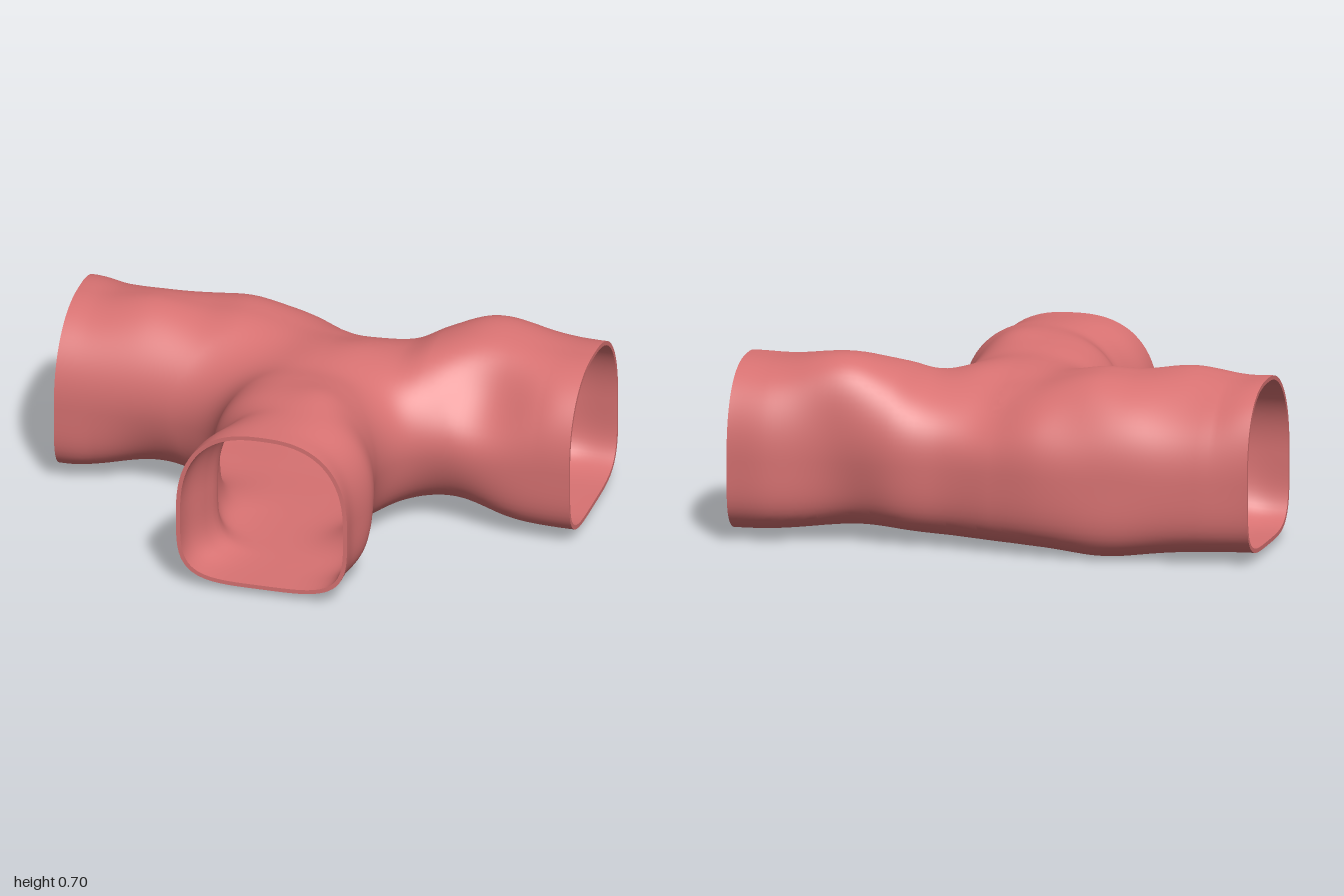
import * as THREE from 'three';

// Smooth curve through [position, value] knots
function curve(pts) {
  const slope = (i) => {
    const a = pts[Math.max(0, i - 1)], b = pts[Math.min(pts.length - 1, i + 1)];
    return i === 0 || i === pts.length - 1 ? 0 : (b[1] - a[1]) / (b[0] - a[0]);
  };
  const m = pts.map((p, i) => slope(i));
  return (x) => {
    if (x <= pts[0][0]) return pts[0][1];
    if (x >= pts[pts.length - 1][0]) return pts[pts.length - 1][1];
    let i = 0;
    while (x > pts[i + 1][0]) i++;
    const d = pts[i + 1][0] - pts[i][0], t = (x - pts[i][0]) / d, s = 1 - t;
    return pts[i][1] * (1 + 2 * t) * s * s + m[i] * d * t * s * s
      + pts[i + 1][1] * t * t * (3 - 2 * t) - m[i + 1] * d * t * t * s;
  };
}

// Outlines of the main passage (along x) and the side passage (along z)
const mainRoof = curve([[-1, .66], [-.9, .66], [-.7, .692], [-.5, .664], [-.35, .665], [-.15, .635], [0, .645], [.12, .65], [.28, .617], [.4, .65], [.55, .675], [.7, .675], [.87, .66], [1, .66]]);
const mainFloor = curve([[-1, .025], [-.8, .022], [-.4, .006], [-.2, .013], [.2, .025], [.5, .035], [.75, .03], [1, .025]]);
const mainBack = curve([[-1, -.65], [-.8, -.665], [-.4, -.682], [-.2, -.677], [0, -.64], [.2, -.6], [.4, -.61], [.62, -.602], [.85, -.65], [1, -.65]]);
const sideRoof = curve([[-.1, .635], [.03, .635], [.15, .648], [.3, .658], [.48, .66], [.68, .66]]);
const sideRight = curve([[-.3, -.32], [.2, -.32], [.3, -.31], [.42, -.265], [.5, -.285], [.6, -.325], [.68, -.335]]);
const sideLeft = curve([[-.3, .32], [.2, .318], [.3, .328], [.45, .362], [.6, .33], [.68, .33]]);

// Hollows (positive depth) and bulges (negative) in the rock: x, y, z, radius, depth
const dents = [
  [.64, .56, -.06, .2, .085], [.5, .06, -.04, .23, .075], [-.62, .06, -.04, .23, .075],
  [.07, .63, -.45, .25, .075], [.03, .55, -.58, .16, .03], [-.7, .62, -.54, .24, .05],
  [-.3, .57, -.62, .2, .03], [.6, .64, -.5, .2, -.05], [.53, .12, -.58, .22, .035],
  [-.45, .04, -.6, .2, -.018], [.3, .06, .28, .2, .07], [.13, .68, .28, .15, -.018],
];

const N = 80, H = 2 / N, FRONT = .685, WALL = .016;
const clamp = THREE.MathUtils.clamp;

// Negative inside the tunnel, zero on its outer skin
function field(px, y, pz) {
  const x = clamp(px, -1 + H / 2, 1 - H / 2), z = Math.min(pz, FRONT - H / 2);
  const back = mainBack(x), mid = (back + .019) / 2;
  const a = Math.abs(z - mid) - (.019 - back) / 2;
  const l = sideRight(z), r = sideLeft(z);
  const b = Math.abs(x - (l + r) / 2) - (r - l) / 2 + 2 * Math.max(0, mid - z);
  const k = .23, h = Math.max(k - Math.abs(a - b), 0);
  const plan = Math.min(a, b) - h * h / (4 * k);
  const u = Math.max(0, 1 + plan / .33);
  const w = THREE.MathUtils.smoothstep(z, -.3, .1);
  const roof = mainRoof(x) * (1 - w) + sideRoof(z) * w;
  const floor = mainFloor(x) * (1 - w) + .025 * w;
  const up = y > .3;
  const v = up ? (y - .3) / (roof - .3) : (.3 - y) / (.3 - floor);
  const p = up ? 2.5 : 4;
  let f = (Math.pow(Math.pow(u, p) + Math.pow(v, p), 1 / p) - 1) * .33;
  const fade = THREE.MathUtils.smoothstep(1 - Math.abs(x), 0, .15);
  for (const [dx, dy, dz, rad, depth] of dents) {
    f += fade * depth * Math.exp(-((x - dx) ** 2 + (y - dy) ** 2 + (z - dz) ** 2) / (rad * rad) * 1.5);
  }
  return f;
}

function gradient(p) {
  const e = .002;
  return new THREE.Vector3(
    field(p.x + e, p.y, p.z) - field(p.x - e, p.y, p.z),
    field(p.x, p.y + e, p.z) - field(p.x, p.y - e, p.z),
    field(p.x, p.y, p.z + e) - field(p.x, p.y, p.z - e)).divideScalar(2 * e);
}

// Wraps a quad mesh around the field, with the three mouths left open
function wrapField() {
  const n = [N + 2, 38, 62];
  const start = [-1 - H / 2, -.1, FRONT + H / 2 - (n[2] - 1) * H];
  const id = (c) => (c[0] * n[1] + c[1]) * n[2] + c[2];
  const values = new Float32Array(n[0] * n[1] * n[2]);
  const each = (fn) => {
    for (let i = 0; i < n[0]; i++) for (let j = 0; j < n[1]; j++) for (let k = 0; k < n[2]; k++) fn([i, j, k]);
  };
  each((c) => { values[id(c)] = field(...c.map((q, i) => start[i] + q * H)); });

  const points = [], normals = [], lookup = new Map();
  const vertex = (c) => {
    const key = id(c);
    if (lookup.has(key)) return lookup.get(key);
    const p = new THREE.Vector3(...c.map((q, i) => start[i] + (q + .5) * H));
    const centre = p.clone();
    for (let s = 0; s < 4; s++) {
      const g = gradient(p);
      const step = clamp(field(p.x, p.y, p.z) / Math.max(g.lengthSq(), .05), -H, H);
      p.addScaledVector(g, -step);
    }
    if (c[0] === 0 || c[0] === N) p.x = centre.x;
    if (c[2] === n[2] - 2) p.z = FRONT;
    points.push(p);
    normals.push(gradient(p).normalize());
    lookup.set(key, points.length - 1);
    return points.length - 1;
  };

  const quads = [];
  each((c) => {
    for (let a = 0; a < 3; a++) {
      const b = (a + 1) % 3, d = (a + 2) % 3;
      if (c[a] + 1 >= n[a] || c[b] < 1 || c[d] < 1 || c[b] >= n[b] - 1 || c[d] >= n[d] - 1) continue;
      const next = c.slice();
      next[a]++;
      const inside = values[id(c)] < 0;
      if (inside === values[id(next)] < 0) continue;
      const q = [[-1, -1], [0, -1], [0, 0], [-1, 0]].map(([s, t]) => {
        const cell = c.slice();
        cell[b] += s;
        cell[d] += t;
        return vertex(cell);
      });
      quads.push(inside ? q : q.reverse());
    }
  });
  return { points, normals, quads };
}

function makeGeometry(points, normals, index) {
  const g = new THREE.BufferGeometry();
  g.setAttribute('position', new THREE.Float32BufferAttribute(points.flatMap((p) => [p.x, p.y, p.z]), 3));
  g.setIndex(index);
  if (normals) g.setAttribute('normal', new THREE.Float32BufferAttribute(normals.flatMap((p) => [p.x, p.y, p.z]), 3));
  else g.computeVertexNormals();
  return g;
}

export function createModel() {
  const group = new THREE.Group();
  group.name = 'tunnelJunction';
  const rock = new THREE.MeshStandardMaterial({ color: 0xd87272 });
  rock.name = 'rose rock';
  const add = (name, geometry) => {
    const mesh = new THREE.Mesh(geometry, rock);
    mesh.name = name;
    group.add(mesh);
  };

  const { points, normals, quads } = wrapField();
  const inner = points.map((p, i) => p.clone().addScaledVector(normals[i], -WALL));
  const outward = quads.flatMap(([a, b, c, d]) => [a, b, c, a, c, d]);
  const inward = quads.flatMap(([a, b, c, d]) => [a, c, b, a, d, c]);
  add('outerWall', makeGeometry(points, normals, outward));
  add('innerWall', makeGeometry(inner, normals.map((v) => v.clone().negate()), inward));

  // Flat rims join the two walls along every open edge
  const edges = new Set();
  quads.forEach((q) => q.forEach((a, i) => edges.add(a + '_' + q[(i + 1) % 4])));
  const rimPoints = [], rimIndex = [];
  quads.forEach((q) => q.forEach((a, i) => {
    const b = q[(i + 1) % 4];
    if (edges.has(b + '_' + a)) return;
    const s = rimPoints.length;
    rimPoints.push(points[b], points[a], inner[a], inner[b]);
    rimIndex.push(s, s + 1, s + 2, s, s + 2, s + 3);
  }));
  add('mouthRims', makeGeometry(rimPoints, null, rimIndex));
  return group;
}
